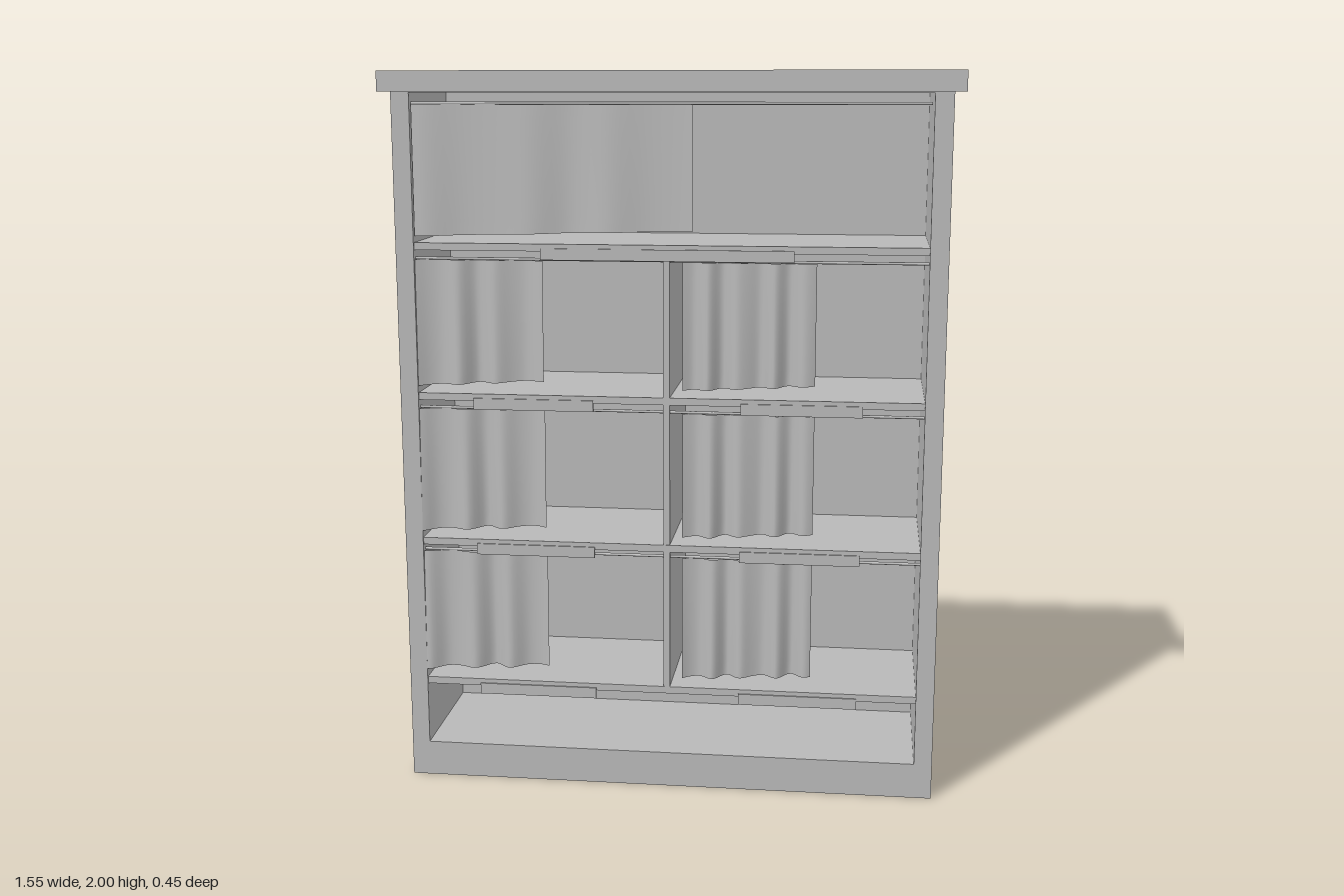
import * as THREE from 'three';

export function createModel() {
  const group = new THREE.Group();
  group.name = 'curtainedCabinet';
  const grey = new THREE.MeshStandardMaterial({ color: 0xb8b8b8, side: THREE.DoubleSide });
  grey.name = 'plain grey';

  function add(name, geometry, x = 0, y = 0, z = 0) {
    const mesh = new THREE.Mesh(geometry, grey);
    mesh.name = name;
    mesh.position.set(x, y, z);
    group.add(mesh);
    return mesh;
  }

  // Box given by its limits on each axis
  function block(name, x0, x1, y0, y1, z0, z1) {
    return add(name, new THREE.BoxGeometry(x1 - x0, y1 - y0, z1 - z0),
      (x0 + x1) / 2, (y0 + y1) / 2, (z0 + z1) / 2);
  }

  // Carcass: sides and plinth in one piece, with a large front opening
  const frame = new THREE.Shape();
  frame.moveTo(-0.745, 0).lineTo(0.745, 0).lineTo(0.745, 1.945).lineTo(-0.745, 1.945).closePath();
  const opening = new THREE.Path();
  opening.moveTo(-0.695, 0.1).lineTo(-0.695, 1.942).lineTo(0.695, 1.942).lineTo(0.695, 0.1).closePath();
  frame.holes.push(opening);
  add('carcass', new THREE.ExtrudeGeometry(frame, { depth: 0.39, bevelEnabled: false }), 0, 0, -0.19);
  block('backPanel', -0.745, 0.745, 0.01, 1.945, -0.2, -0.19);
  block('topBoard', -0.775, 0.775, 1.945, 2, -0.225, 0.225);

  // Shelves and the upright between the two columns
  const shelfTops = [0.297, 0.712, 1.128, 1.543];
  shelfTops.forEach((top) => block('shelf', -0.695, 0.695, top - 0.02, top, -0.19, 0.195));
  for (let i = 0; i < 3; i++) {
    block('divider', -0.012, 0.006, shelfTops[i], shelfTops[i + 1] - 0.02, -0.19, 0.193);
  }

  // Label plates along the shelf fronts
  shelfTops.forEach((top, i) => {
    const spans = i === 3 ? [[-0.345, 0.34]] : [[-0.54, -0.205], [0.2, 0.53]];
    for (const [x0, x1] of spans) block('labelPlate', x0, x1, top - 0.043, top - 0.012, 0.191, 0.199);
  });

  // Curtain: a sheet with folds that deepen toward a slightly rising hem
  function curtain(x0, x1, top, height, folds, phase, depth) {
    const width = x1 - x0;
    const sheet = new THREE.PlaneGeometry(width, height, folds * 12, 8);
    const p = sheet.attributes.position;
    for (let i = 0; i < p.count; i++) {
      const u = p.getX(i) / width + 0.5;
      const down = 0.5 - p.getY(i) / height;
      const wave = Math.sin(u * folds * Math.PI * 2 + phase) + 0.3 * Math.sin(u * folds * 9.5 + phase * 2);
      p.setZ(i, wave * depth * (0.55 + 0.45 * down));
      p.setY(i, p.getY(i) + 0.02 * u * down);
    }
    sheet.computeVertexNormals();
    add('curtain', sheet, (x0 + x1) / 2, top - height / 2, 0.184);
  }

  // Curtain rod running across a bay
  function rod(x0, x1, y) {
    add('curtainRod', new THREE.CylinderGeometry(0.004, 0.004, x1 - x0, 8),
      (x0 + x1) / 2, y, 0.178).rotation.z = Math.PI / 2;
  }

  rod(-0.695, 0.69, 1.915);
  curtain(-0.693, 0.068, 1.912, 0.352, 3, 0.6, 0.01);
  [0.673, 1.083, 1.497].forEach((top, i) => {
    rod(-0.695, -0.012, top + 0.003);
    rod(0.006, 0.695, top + 0.003);
    curtain(-0.695, -0.34, top, 0.35, 3, 0.8 + i * 0.6, 0.016);
    curtain(0.04, 0.4, top, 0.35, 4, 2.2 + i * 0.5, 0.015);
  });

  return group;
}
